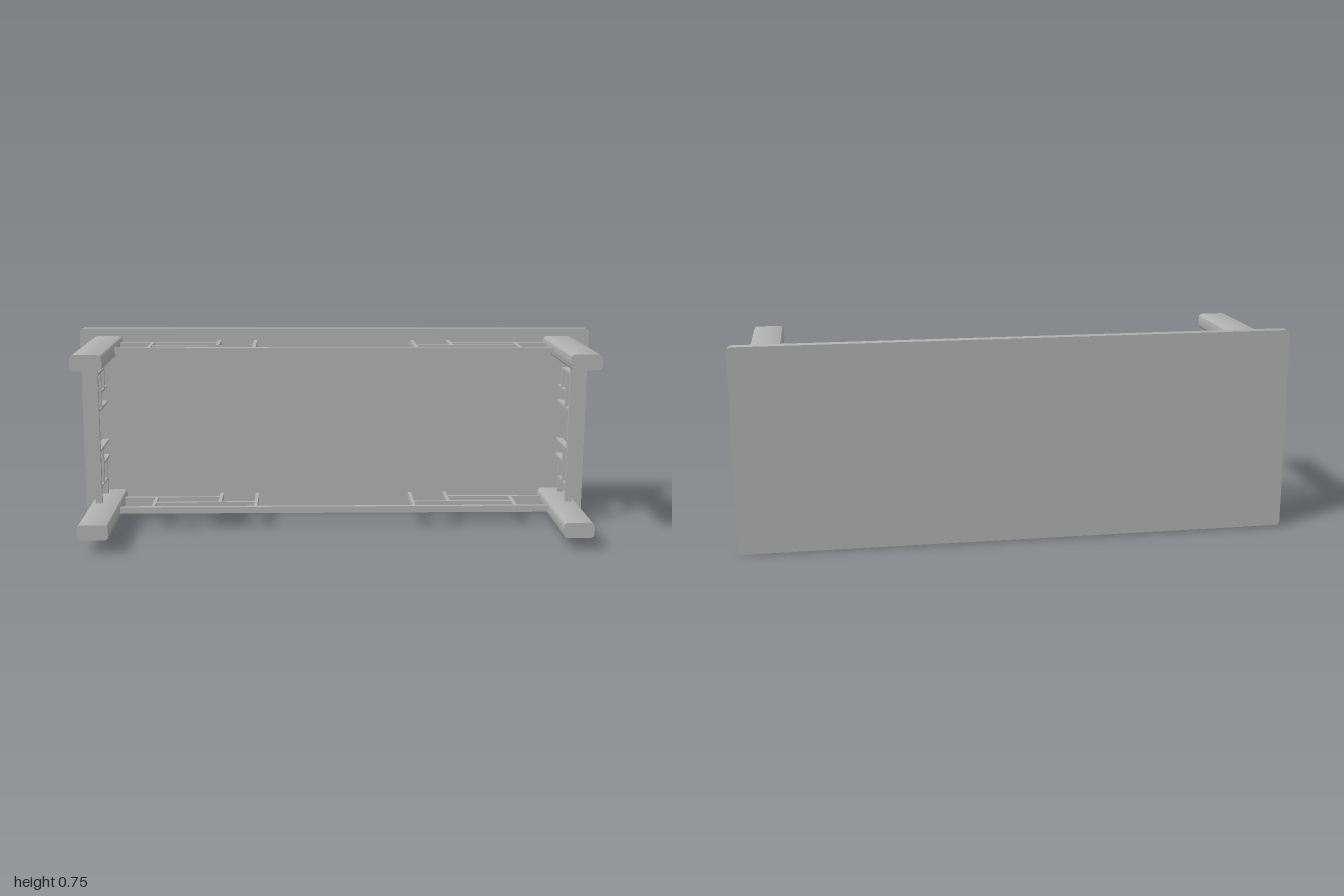
import * as THREE from 'three';
import { toCreasedNormals } from 'three/addons/utils/BufferGeometryUtils.js';

const grey = new THREE.MeshStandardMaterial({ color: 0xb0b0b0 });
grey.name = 'plain grey';

// Slab with rounded corners in x/y, running from z0 to z1
function roundedSlab(name, w, h, r, z0, z1) {
  const x = w / 2, y = h / 2;
  const s = new THREE.Shape();
  s.moveTo(-x + r, -y);
  s.lineTo(x - r, -y);
  s.absarc(x - r, -y + r, r, -Math.PI / 2, 0);
  s.absarc(x - r, y - r, r, 0, Math.PI / 2);
  s.absarc(-x + r, y - r, r, Math.PI / 2, Math.PI);
  s.absarc(-x + r, -y + r, r, Math.PI, Math.PI * 1.5);
  const geo = new THREE.ExtrudeGeometry(s, { depth: z1 - z0, bevelEnabled: false, curveSegments: 5 });
  geo.translate(0, 0, z0);
  const mesh = new THREE.Mesh(toCreasedNormals(geo, 0.6), grey);
  mesh.name = name;
  return mesh;
}

const TOP_Z = -0.24; // underside of the tabletop
const DEPTH = 0.025; // thickness of all lattice bars

// Lattice in the x/z plane: a long rail and a mirrored stepped pattern.
// a, e, c: distances of the cross bars from the middle; end: where the legs start
function lattice(name, a, e, c, end, t) {
  const g = new THREE.Group();
  g.name = name;
  const bar = (label, x0, x1, z0, z1) => {
    const m = new THREE.Mesh(new THREE.BoxGeometry(Math.abs(x1 - x0), DEPTH, Math.abs(z1 - z0)), grey);
    m.position.set((x0 + x1) / 2, 0, (z0 + z1) / 2);
    m.name = label;
    g.add(m);
  };
  const h = t / 2;
  bar('longRail', -end, end, -0.039, -0.023);
  for (const s of [-1, 1]) {
    bar('innerPost', s * (a - h), s * (a + h), TOP_Z, -0.039);
    bar('middleRail', s * (a + h), s * (c - h), -0.107, -0.094);
    bar('outerPost', s * (c - h), s * (c + h), -0.171, -0.039);
    bar('upperRail', s * (e + h), s * end, -0.184, -0.171);
    bar('steppedPost', s * (e - h), s * (e + h), TOP_Z, -0.107);
  }
  return g;
}

export function createModel() {
  const root = new THREE.Group();
  root.name = 'table';

  // The table lies on its long edge, leaning very slightly
  const table = new THREE.Group();
  table.name = 'tiltedTable';
  table.position.set(0, 0.379, 0);
  table.rotation.set(-0.008, 0.006, -0.003);
  root.add(table);

  const top = roundedSlab('tabletop', 1.996, 0.744, 0.016, -0.278, TOP_Z);
  top.position.x = 0.0015;
  table.add(top);

  // Legs and lattices share a small offset from the tabletop
  const frame = new THREE.Group();
  frame.name = 'legFrame';
  frame.position.set(-0.006, 0.006, 0);
  table.add(frame);

  for (const sx of [-1, 1]) {
    for (const sy of [-1, 1]) {
      const leg = roundedSlab('leg', 0.112, 0.057, 0.015, TOP_Z, 0.277);
      leg.position.set(sx * 0.881, sy * 0.308, 0);
      frame.add(leg);
    }
  }

  // One lattice along each long side and each end
  for (const s of [-1, 1]) {
    const side = lattice('sideLattice', 0.306, 0.447, 0.7, 0.83, 0.013);
    side.position.y = s * 0.308;
    frame.add(side);
    const end = lattice('endLattice', 0.077, 0.14, 0.218, 0.282, 0.009);
    end.rotation.z = Math.PI / 2;
    end.position.x = s * 0.904;
    frame.add(end);
  }
  return root;
}
